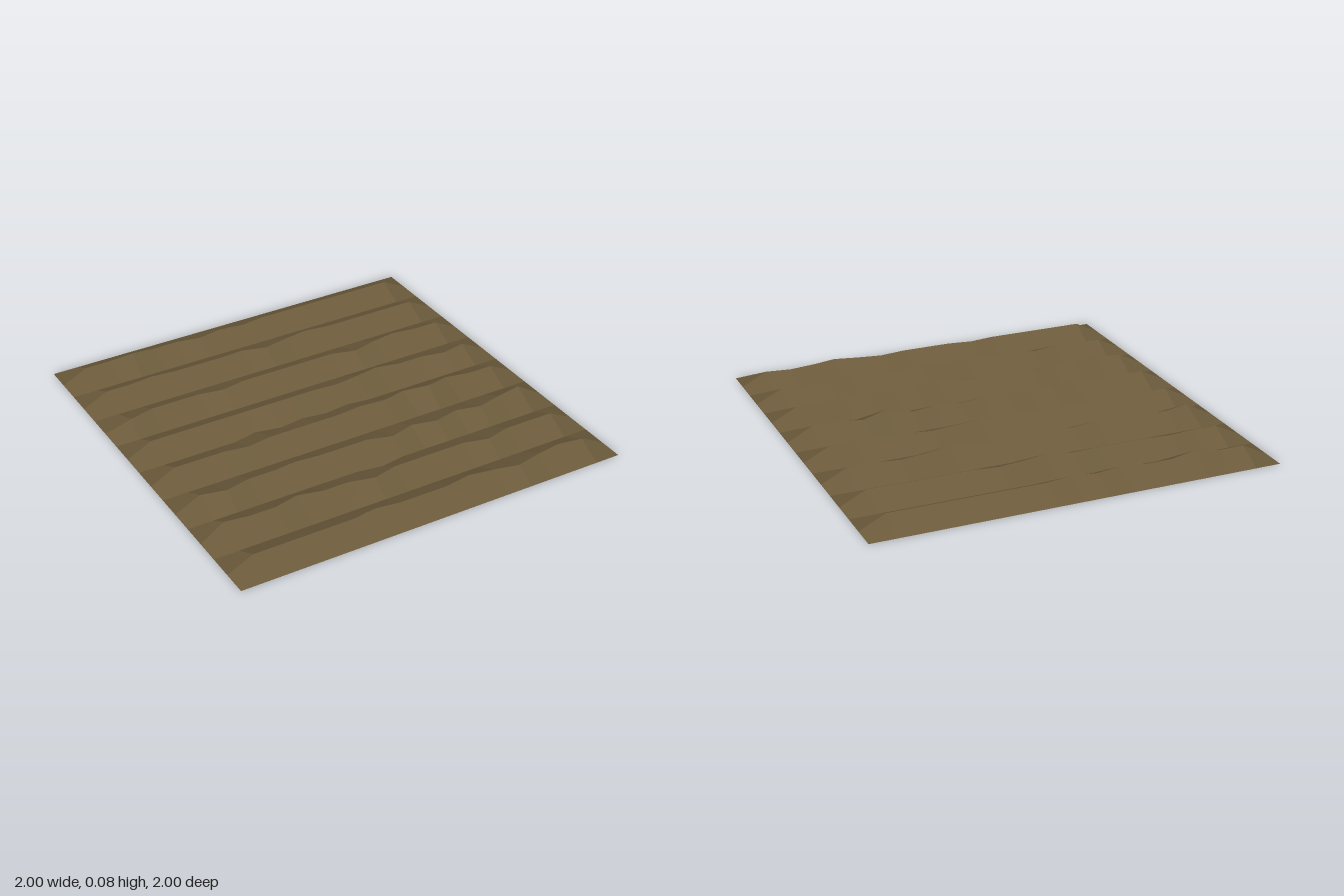
import * as THREE from 'three';

const N = 16, STEP = 2 / N, HEIGHT = 0.0625;

// Irregular points, per row: [column, shift in z, extra height]
const BUMPS = {
  1: [[3, 0.011, 0.015], [6, 0.022], [8, 0.017]],
  3: [[3, -0.013], [7, -0.006], [8, 0.027], [10, -0.017]],
  5: [[1, 0.033], [5, 0.022], [11, 0.033], [13, -0.018]],
  7: [[9, 0.01], [10, -0.006], [11, -0.026], [14, 0.024]],
  8: [[5, -0.026], [7, -0.018], [9, -0.015]],
  9: [[4, 0.02], [9, -0.013], [11, -0.024], [12, 0.015, 0.015], [13, -0.024]],
  11: [[2, 0.027], [5, -0.012], [9, 0.035], [11, 0.028], [13, 0.028], [15, -0.015, 0.008]],
  12: [[8, 0.02]],
  13: [[1, -0.018], [4, -0.028], [7, 0.03], [12, 0.03]],
  15: [[6, -0.018], [10, -0.021], [12, 0.028], [14, -0.018]],
};

// Odd rows are ridges, even rows are valleys; the ridges slope to the ground at both ends
function fieldPoint(col, row) {
  const ridge = row % 2 === 1 && col > 0 && col < N;
  const [, dz = 0, dy = 0] = (BUMPS[row] || []).find((b) => b[0] === col) || [];
  return new THREE.Vector3(-1 + col * STEP, (ridge ? HEIGHT : 0) + dy, -1 + row * STEP + dz);
}

// Sheet of four-sided facets, each with a single flat normal
function furrowGeometry() {
  const positions = [], normals = [];
  for (let row = 0; row < N; row++) {
    for (let col = 0; col < N; col++) {
      const a = fieldPoint(col, row), b = fieldPoint(col, row + 1);
      const c = fieldPoint(col + 1, row + 1), d = fieldPoint(col + 1, row);
      const normal = c.clone().sub(a).cross(d.clone().sub(b)).normalize();
      for (const p of [a, b, c, a, c, d]) {
        positions.push(p.x, p.y, p.z);
        normals.push(normal.x, normal.y, normal.z);
      }
    }
  }
  const geometry = new THREE.BufferGeometry();
  geometry.setAttribute('position', new THREE.Float32BufferAttribute(positions, 3));
  geometry.setAttribute('normal', new THREE.Float32BufferAttribute(normals, 3));
  return geometry;
}

export function createModel() {
  const soil = new THREE.MeshStandardMaterial({ color: 0x6b5a3b, side: THREE.DoubleSide });
  soil.name = 'soil brown';

  const field = new THREE.Mesh(furrowGeometry(), soil);
  field.name = 'ploughedSoil';

  const group = new THREE.Group();
  group.name = 'ploughedField';
  group.add(field);
  return group;
}
